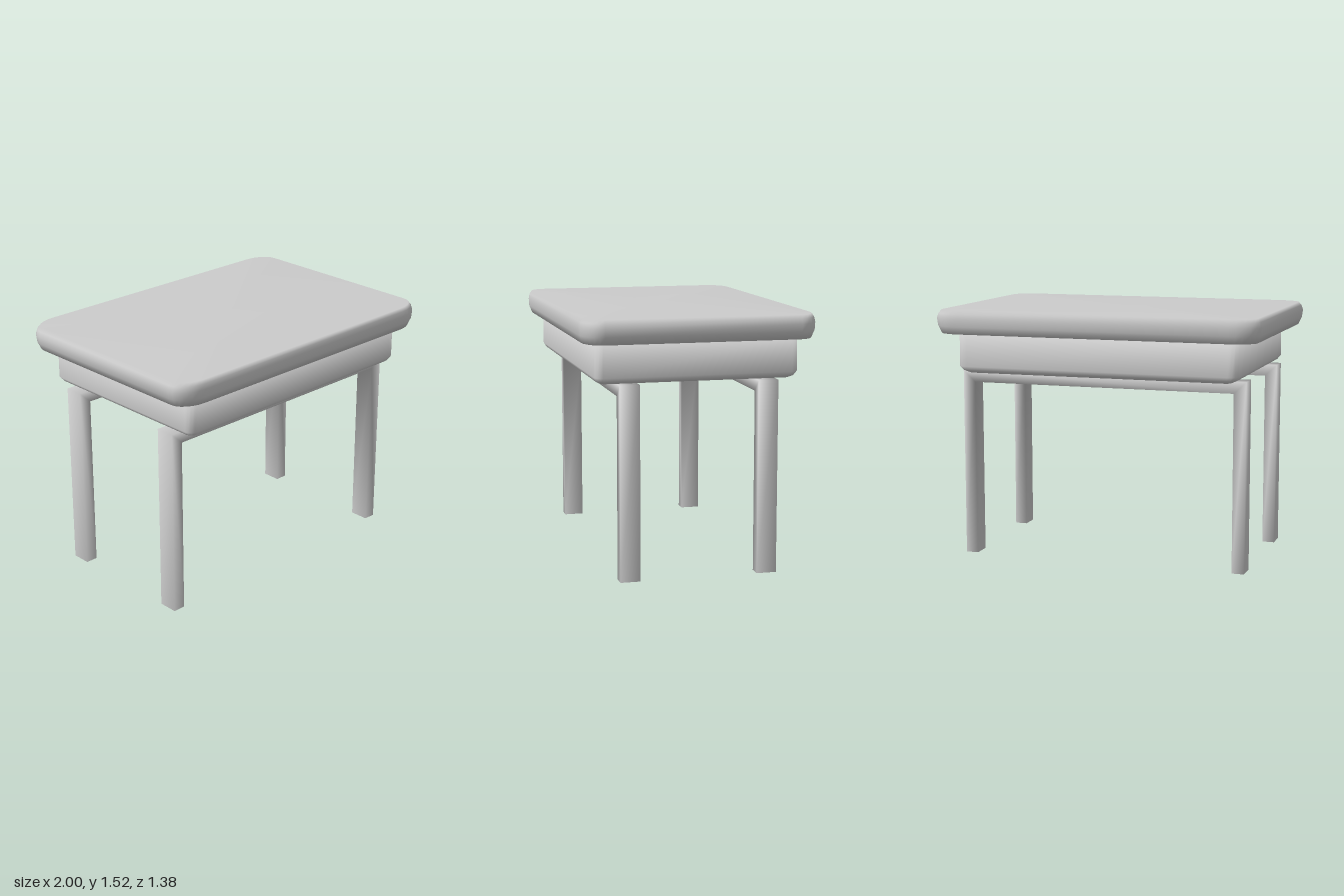
import * as THREE from 'three';
import { mergeVertices } from 'three/addons/utils/BufferGeometryUtils.js';

const material = new THREE.MeshStandardMaterial({ color: 0xcccccc });

function addMesh(parent, geometry, name) {
  const mesh = new THREE.Mesh(geometry, material);
  mesh.name = name;
  parent.add(mesh);
  return mesh;
}

// Closed solid lofted through rounded rectangles, listed bottom to top.
// Each level is [y, half width, half depth, corner radius x, corner radius z].
function loft(levels, cornerSteps) {
  const positions = [];
  const indices = [];
  const n = 4 * (cornerSteps + 1);
  for (const [y, hx, hz, rx, rz] of levels) {
    for (let c = 0; c < 4; c++) {
      const sx = c === 0 || c === 3 ? 1 : -1;
      const sz = c < 2 ? 1 : -1;
      for (let i = 0; i <= cornerSteps; i++) {
        const a = (c + i / cornerSteps) * Math.PI / 2;
        positions.push(sx * (hx - rx) + rx * Math.cos(a), y, sz * (hz - rz) + rz * Math.sin(a));
      }
    }
  }
  const last = (levels.length - 1) * n;
  const bottom = positions.length / 3;
  positions.push(0, levels[0][0], 0, 0, levels[levels.length - 1][0], 0);
  for (let i = 0; i < n; i++) {
    const j = (i + 1) % n;
    for (let r = 0; r < last; r += n) {
      indices.push(r + i, r + n + i, r + j, r + j, r + n + i, r + n + j);
    }
    indices.push(bottom, i, j, bottom + 1, last + j, last + i);
  }
  const geometry = new THREE.BufferGeometry();
  geometry.setAttribute('position', new THREE.Float32BufferAttribute(positions, 3));
  geometry.setIndex(indices);
  geometry.computeVertexNormals();
  return geometry;
}

// Two legs joined by a top rail, as one inverted U with softened normals
function legFrameGeometry() {
  const outline = [
    [-0.885, 0], [-0.81, 0], [-0.81, 1.07], [0.81, 1.07],
    [0.81, 0], [0.885, 0], [0.885, 1.14], [-0.885, 1.14],
  ].map(([x, y]) => new THREE.Vector2(x, y));
  const depth = 0.118;
  const extruded = new THREE.ExtrudeGeometry(new THREE.Shape(outline), { depth, bevelEnabled: false });
  extruded.translate(0, 0, -depth / 2);
  extruded.deleteAttribute('uv');
  extruded.deleteAttribute('normal');
  const geometry = mergeVertices(extruded);
  geometry.computeVertexNormals();
  return geometry;
}

export function createModel() {
  const desk = new THREE.Group();
  desk.name = 'desk';

  // Thick top with rounded corners and softened rims
  addMesh(desk, loft([
    [1.38, 0.972, 0.67, 0.15, 0.105],
    [1.425, 0.994, 0.688, 0.17, 0.12],
    [1.47, 1.0, 0.69, 0.175, 0.12],
    [1.5, 0.989, 0.684, 0.165, 0.115],
    [1.52, 0.972, 0.67, 0.15, 0.105],
  ], 6), 'deskTop');

  // Storage box below the top, bevelled at its lower edge
  addMesh(desk, loft([
    [1.14, 0.81, 0.56, 0.035, 0.03],
    [1.155, 0.845, 0.585, 0.05, 0.04],
    [1.18, 0.865, 0.6, 0.06, 0.045],
    [1.38, 0.865, 0.6, 0.06, 0.045],
  ], 4), 'storageBox');

  // Front and back leg frames
  const frame = legFrameGeometry();
  for (const [name, z] of [['frontLegFrame', 0.408], ['backLegFrame', -0.408]]) {
    addMesh(desk, frame, name).position.z = z;
  }
  return desk;
}
